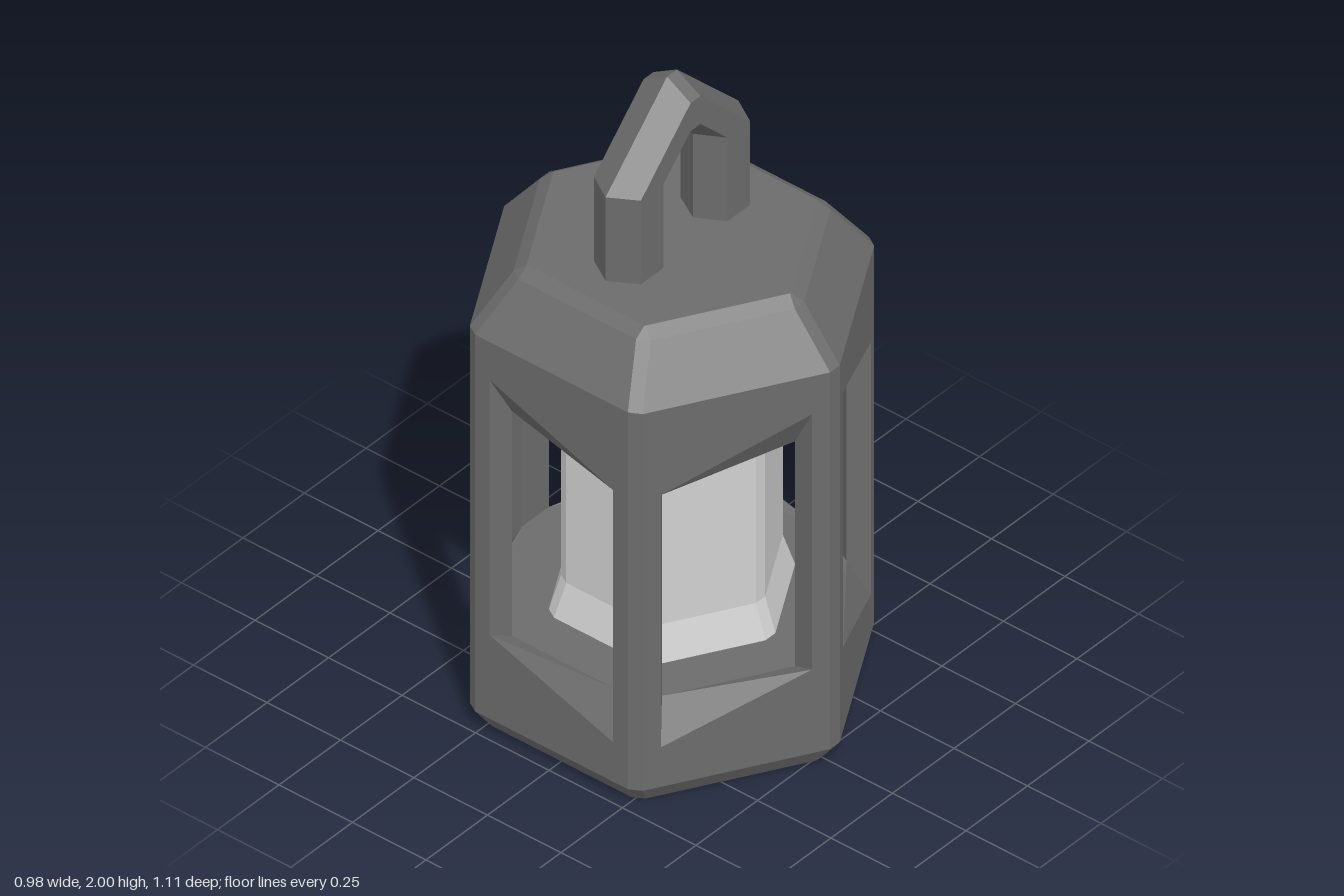
import * as THREE from 'three';

const bodyMat = new THREE.MeshStandardMaterial({ color: 0x6c6c6c, flatShading: true });
bodyMat.name = 'dark metal';
const glassMat = new THREE.MeshStandardMaterial({ color: 0xd0d0d0, flatShading: true });
glassMat.name = 'pale glass';

// Point on hexagon side k: s along the side, height y, distance a from the axis
function at(k, s, y, a) {
  const t = (k * Math.PI) / 3, c = Math.cos(t), n = Math.sin(t);
  return [a * c - s * n, y, a * n + s * c];
}

// Hexagon with cut corners: half side length h, distance a from the axis
function ring(y, a, h) {
  const pts = [];
  for (let k = 0; k < 6; k++) pts.push(at(k, -h, y, a), at(k, h, y, a));
  return pts;
}

// Collects flat faces and turns them into a mesh
class Faces {
  constructor() { this.p = []; }
  tri(a, b, c) { this.p.push(...a, ...b, ...c); }
  quad(a, b, c, d) { this.tri(a, b, c); this.tri(a, c, d); }
  band(lower, upper, keep = () => true) {
    lower.forEach((p, i) => {
      const j = (i + 1) % lower.length;
      if (keep(i)) this.quad(lower[j], p, upper[i], upper[j]);
    });
  }
  cap(pts, up) {
    for (let i = 1; i < pts.length - 1; i++) {
      if (up) this.tri(pts[0], pts[i + 1], pts[i]);
      else this.tri(pts[0], pts[i], pts[i + 1]);
    }
  }
  mesh(name, mat) {
    const g = new THREE.BufferGeometry();
    g.setAttribute('position', new THREE.Float32BufferAttribute(this.p, 3));
    g.computeVertexNormals();
    const m = new THREE.Mesh(g, mat);
    m.name = name;
    return m;
  }
}

const A = 0.49, H = 0.26;            // outer wall
const AI = 0.43, HI = 0.185;         // inner wall
const FLOOR = 0.31, CEILING = 1.05;
const isCorner = (i) => i % 2 === 1;

function makeBase() {
  const f = new Faces();
  const foot = ring(0, 0.45, 0.238);
  f.cap(foot, false);
  f.band(foot, ring(0.06, A, H));
  f.cap(ring(FLOOR, AI, HI), true);
  return f.mesh('base', bodyMat);
}

function makeRoof() {
  const f = new Faces();
  const rings = [ring(1.3, A, H), ring(1.45, 0.385, 0.2), ring(1.475, 0.35, 0.2)];
  f.band(rings[0], rings[1]);
  f.band(rings[1], rings[2]);
  f.cap(rings[2], true);
  f.cap(ring(CEILING, AI, HI), false);
  return f.mesh('roof', bodyMat);
}

// Corner posts, outside and inside
function makePosts() {
  const f = new Faces();
  f.band(ring(0.06, A, H), ring(1.3, A, H), isCorner);
  f.band(ring(CEILING, AI, HI), ring(FLOOR, AI, HI), isCorner);
  return f.mesh('cornerPosts', bodyMat);
}

// Wall panel with a skewed opening that narrows to a level one inside
function makeWindow(k) {
  const f = new Faces();
  const even = k % 2 === 0;
  const low = [0.19, 1.02], high = [0.335, 1.175];
  const plus = even ? low : high, minus = even ? high : low;
  const wall = [at(k, H, 0.06, A), at(k, -H, 0.06, A), at(k, -H, 1.3, A), at(k, H, 1.3, A)];
  const s = 0.21;
  const outer = [at(k, s, plus[0], A), at(k, -s, minus[0], A), at(k, -s, minus[1], A), at(k, s, plus[1], A)];
  const inner = [at(k, HI, FLOOR, AI), at(k, -HI, FLOOR, AI), at(k, -HI, CEILING, AI), at(k, HI, CEILING, AI)];
  for (let i = 0; i < 4; i++) {
    const j = (i + 1) % 4;
    f.quad(wall[i], wall[j], outer[j], outer[i]);
    if (even) f.quad(outer[j], inner[j], inner[i], outer[i]);
    else f.quad(outer[i], outer[j], inner[j], inner[i]);
  }
  return f.mesh('windowFrame', bodyMat);
}

// Glass column, flared where it meets floor and ceiling
function makeGlass() {
  const f = new Faces();
  const rings = [ring(FLOOR, 0.3, 0.15), ring(0.415, 0.27, 0.134), ring(0.945, 0.27, 0.134), ring(CEILING, 0.3, 0.15)];
  for (let i = 0; i < 3; i++) f.band(rings[i], rings[i + 1]);
  return f.mesh('glassColumn', glassMat);
}

// Pointed loop with a six-sided bar
function makeHandle() {
  const f = new Faces();
  const section = [[0.27, 0], [0.222, 0.08], [0.13, 0.08], [0.085, 0], [0.13, -0.08], [0.222, -0.08]];
  const stations = [
    (p) => [-p, 1.47], (p) => [-p, 1.75], (p) => [-0.02, 1.73 + p],
    (p) => [0.02, 1.73 + p], (p) => [p, 1.75], (p) => [p, 1.47],
  ];
  const loops = stations.map((fn) => section.map(([p, z]) => [...fn(p), z]));
  for (let n = 0; n < loops.length - 1; n++) {
    const a = loops[n], b = loops[n + 1];
    for (let i = 0; i < 6; i++) {
      const j = (i + 1) % 6;
      f.quad(a[i], a[j], b[j], b[i]);
    }
  }
  return f.mesh('handle', bodyMat);
}

export function createModel() {
  const model = new THREE.Group();
  model.name = 'lantern';
  model.add(makeBase(), makeRoof(), makePosts(), makeGlass(), makeHandle());
  for (let k = 0; k < 6; k++) model.add(makeWindow(k));
  return model;
}
